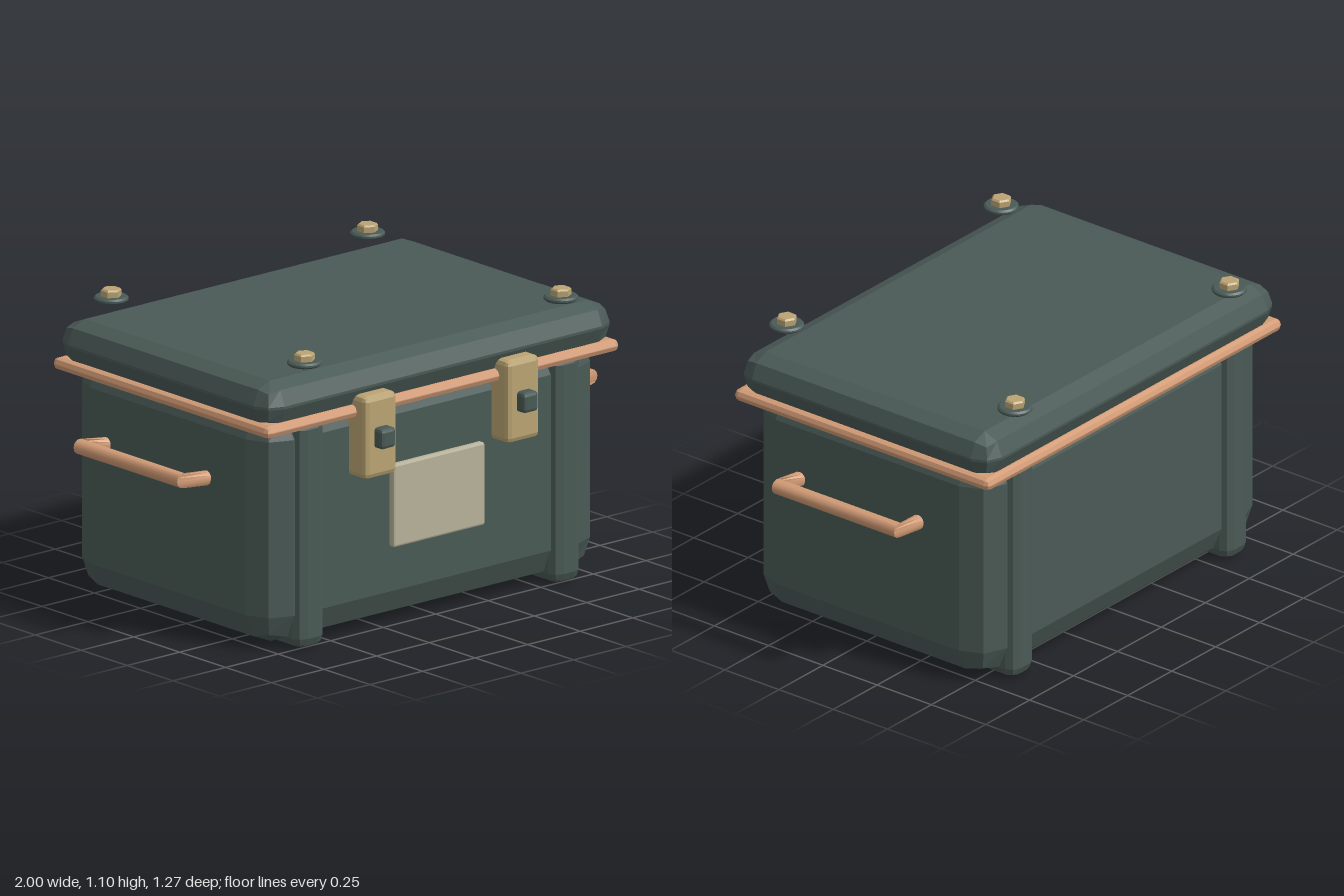
import * as THREE from 'three';
import { RoundedBoxGeometry } from 'three/addons/geometries/RoundedBoxGeometry.js';
import { toCreasedNormals } from 'three/addons/utils/BufferGeometryUtils.js';

const material = (name, color) => {
  const m = new THREE.MeshStandardMaterial({ color });
  m.name = name;
  return m;
};

// Box with two-facet bevels, given by its min and max corners
function bevelBox(name, mat, [x0, y0, z0], [x1, y1, z1], radius) {
  const geo = new RoundedBoxGeometry(x1 - x0, y1 - y0, z1 - z0, 1, radius);
  geo.computeVertexNormals(); // flat facets
  const mesh = new THREE.Mesh(geo, mat);
  mesh.name = name;
  mesh.position.set((x0 + x1) / 2, (y0 + y1) / 2, (z0 + z1) / 2);
  return mesh;
}

// Carry handle: a round bar whose two arms flatten where they meet it
function handleGeometry() {
  const r = 0.028, sides = 12, tilt = 0.13;
  const up = new THREE.Vector3(0, 1, 0);
  const lean = new THREE.Vector3(-Math.sin(tilt), Math.cos(tilt), 0);
  const leanBack = new THREE.Vector3(-Math.sin(tilt), Math.cos(tilt), 0);
  const X = new THREE.Vector3(1, 0, 0);
  const Z = new THREE.Vector3(0, 0, 1);
  const end = z => new THREE.Vector3(0.855, 0.622, z);
  const corner = z => new THREE.Vector3(0.972, 0.637, z);
  const rings = [
    [end(0.273), 0, lean, Z], [end(0.273), r, lean, Z],
    [corner(0.282), r, up, X], [corner(-0.282), r, up, X],
    [end(-0.273), r, leanBack, Z.clone().negate()], [end(-0.273), 0, leanBack, Z],
  ];
  const pos = [], index = [];
  rings.forEach(([c, radius, u, v], i) => {
    for (let j = 0; j < sides; j++) {
      const a = (j / sides) * Math.PI * 2;
      const p = c.clone().addScaledVector(u, radius * Math.cos(a)).addScaledVector(v, radius * Math.sin(a));
      pos.push(p.x, p.y, p.z);
      if (i === rings.length - 1) continue;
      const k = (j + 1) % sides, A = i * sides, B = A + sides;
      index.push(A + j, A + k, B + j, A + k, B + k, B + j);
    }
  });
  const geo = new THREE.BufferGeometry();
  geo.setAttribute('position', new THREE.Float32BufferAttribute(pos, 3));
  geo.setIndex(index);
  return toCreasedNormals(geo, 0.7);
}

export function createModel() {
  const model = new THREE.Group();
  model.name = 'storageCase';

  const green = material('darkGreen', 0x4a5a56);
  const copper = material('copper', 0xd39c76);
  const brass = material('brass', 0xbba473);
  const pale = material('paleMetal', 0xb8b29a);

  const midZ = -0.043;

  // Shell, lid and seal band
  model.add(
    bevelBox('body', green, [-0.8, 0.012, -0.585], [0.8, 0.91, 0.5], 0.12),
    bevelBox('lid', green, [-0.835, 0.85, -0.627], [0.835, 1.02, 0.541], 0.08),
    bevelBox('sealBand', copper, [-0.84, 0.829, -0.632], [0.84, 0.876, 0.546], 0.022),
    bevelBox('namePlate', pale, [-0.22, 0.3, 0.47], [0.215, 0.61, 0.523], 0.008),
  );

  // Hexagonal bolts on rounded washers
  const washerGeo = toCreasedNormals(new THREE.LatheGeometry([
    [0, 0], [0.056, 0], [0.063, 0.006], [0.063, 0.013], [0.056, 0.019], [0, 0.019],
  ].map(([x, y]) => new THREE.Vector2(x, y)), 20), 0.5);
  const boltGeo = toCreasedNormals(new THREE.LatheGeometry([
    [0, 0], [0.038, 0], [0.038, 0.022], [0.032, 0.028], [0, 0.028],
  ].map(([x, y]) => new THREE.Vector2(x, y)), 6), 0.3);

  const handleGeo = handleGeometry();

  for (const side of [1, -1]) {
    const tag = side > 0 ? 'left' : 'right';

    // Reinforcing rib running round front, bottom and back
    const rx = side * 0.609;
    model.add(bevelBox(tag + 'Rib', green, [rx - 0.066, 0.004, -0.615], [rx + 0.066, 0.865, 0.53], 0.04));

    // Latch with its button
    const lx = side * 0.339;
    model.add(
      bevelBox(tag + 'Latch', brass, [lx - 0.077, 0.605, 0.485], [lx + 0.077, 0.915, 0.593], 0.02),
      bevelBox(tag + 'LatchButton', green, [lx - 0.035, 0.72, 0.56], [lx + 0.035, 0.797, 0.635], 0.014),
    );

    // Handle
    const handle = new THREE.Mesh(handleGeo, copper);
    handle.name = tag + 'Handle';
    handle.position.z = midZ - 0.003;
    handle.rotation.y = side > 0 ? 0 : Math.PI;
    model.add(handle);

    for (const end of [1, -1]) {
      const corner = new THREE.Group();
      corner.name = tag + (end > 0 ? 'Front' : 'Back') + 'Bolt';
      const washer = new THREE.Mesh(washerGeo, green);
      washer.name = 'washer';
      const bolt = new THREE.Mesh(boltGeo, brass);
      bolt.name = 'hexHead';
      bolt.position.y = 0.018;
      corner.add(washer, bolt);
      corner.position.set(side * 0.61, 1.055, midZ + end * 0.526);
      model.add(corner);
    }
  }
  return model;
}
